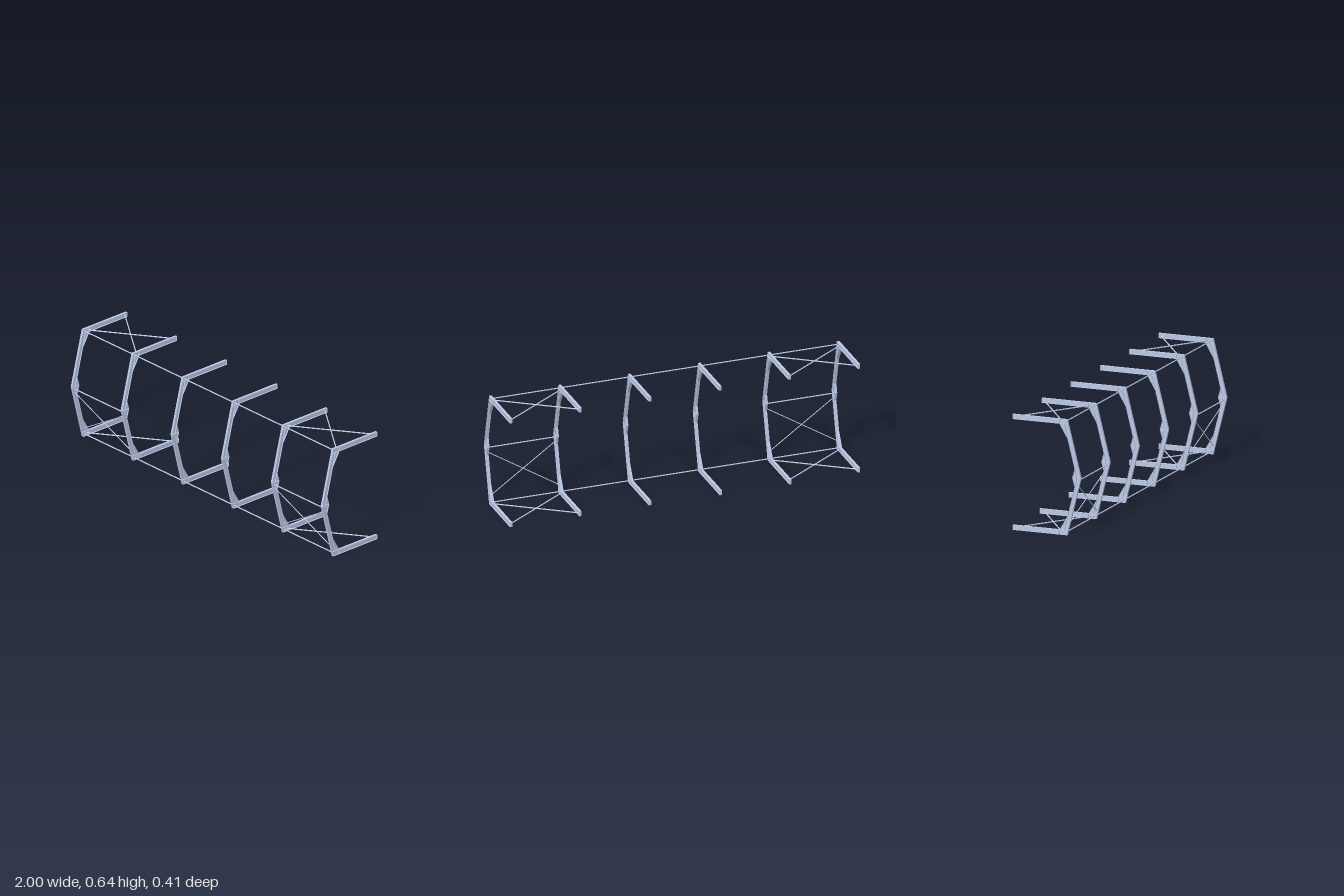
import * as THREE from 'three';

const H = 0.637, MID = H / 2;          // overall height, ridge level
const FLANGE_W = 0.014, T = 0.0012;    // flange width, plate thickness
const steel = new THREE.MeshStandardMaterial({ color: 0xbcc9e6, flatShading: true });
const frameX = [-0.993, -0.597, -0.2, 0.2, 0.597, 0.993];

function addMesh(parent, name, geometry) {
  const mesh = new THREE.Mesh(geometry, steel);
  mesh.name = name;
  parent.add(mesh);
  return mesh;
}

// Flat plate between two [z, y] points, pushed inward by half its thickness
function addPlate(parent, name, a, b, centre) {
  const dz = b[0] - a[0], dy = b[1] - a[1], len = Math.hypot(dz, dy);
  const mz = (a[0] + b[0]) / 2, my = (a[1] + b[1]) / 2;
  let nz = -dy / len, ny = dz / len;
  if ((centre[0] - mz) * nz + (centre[1] - my) * ny < 0) { nz = -nz; ny = -ny; }
  const plate = addMesh(parent, name, new THREE.BoxGeometry(FLANGE_W, len, T));
  plate.position.set(0, my + ny * T / 2, mz + nz * T / 2);
  plate.rotation.x = Math.atan2(dz, dy);
}

// I-section member: thin web of [z, y] corners with plates on the listed edges
function addMember(parent, name, pts, edges) {
  const group = new THREE.Group();
  group.name = name;
  const geo = new THREE.ExtrudeGeometry(
    new THREE.Shape(pts.map(([z, y]) => new THREE.Vector2(z, y))), { depth: T, bevelEnabled: false });
  geo.translate(0, 0, -T / 2).rotateY(-Math.PI / 2);
  addMesh(group, 'web', geo);
  const centre = [0, 1].map(k => pts.reduce((s, p) => s + p[k], 0) / pts.length);
  for (const i of edges) addPlate(group, 'flange', pts[i], pts[(i + 1) % pts.length], centre);
  parent.add(group);
}

// Two rows of bolts through a joint
function addBolts(parent, y, z0, z1, count) {
  for (let i = 0; i < count; i++) {
    for (const x of [-0.004, 0.004]) {
      const bolt = addMesh(parent, 'bolt', new THREE.CylinderGeometry(0.001, 0.001, 0.005, 6));
      bolt.position.set(x, y, z0 + (z1 - z0) * i / (count - 1));
    }
  }
}

// One half of a portal frame; flip mirrors it about the ridge level
function addHalfFrame(parent, flip, endZ) {
  const m = pts => pts.map(([z, y]) => [z, flip ? H - y : y]);
  // The last edge is the base plate closing the free end
  addMember(parent, 'column',
    m([[endZ, 0], [0.126, 0], [0.132, 0.027], [endZ, 0.027]]), [0, 1, 2, 3]);
  addMember(parent, 'rafter',
    m([[0.132, 0.027], [0.205, MID], [0.181, MID], [0.108, 0.027]]), [0, 1, 2, 3]);
  addMember(parent, 'kneeHaunch',
    m([[0.108, 0.027], [0.128, 0.107], [0.081, 0.027]]), [1, 2]);
  addMember(parent, 'ridgeHaunch',
    m([[0.181, MID], [0.169, 0.268], [0.155, MID]]), [1, 2]);
  const [a, b] = m([[0.081, 0.001], [0.081, 0.026]]);
  addPlate(parent, 'stiffener', a, b, [0.1, a[1]]);
  addBolts(parent, flip ? H - 0.027 : 0.027, 0.09, 0.128, 5);
}

// Round bar between two [x, y, z] points
function addBar(parent, name, a, b, radius) {
  const p = new THREE.Vector3(...a), q = new THREE.Vector3(...b);
  const bar = addMesh(parent, name, new THREE.CylinderGeometry(radius, radius, p.distanceTo(q), 8));
  bar.position.copy(p).lerp(q, 0.5);
  bar.quaternion.setFromUnitVectors(new THREE.Vector3(0, 1, 0), q.sub(p).normalize());
}

export function createModel() {
  const model = new THREE.Group();
  model.name = 'portalFrameStructure';

  // Six portal frames
  frameX.forEach((x, i) => {
    const frame = new THREE.Group();
    frame.name = 'portalFrame';
    frame.position.x = x;
    addHalfFrame(frame, false, i === 1 || i === 2 ? -0.205 : -0.192);
    addHalfFrame(frame, true, -0.192);
    addBolts(frame, MID, 0.161, 0.201, 6);
    model.add(frame);
  });

  // Long struts at both knees
  const low = 0.0135, high = H - low;
  for (const y of [low, high])
    addBar(model, 'eavesStrut', [frameX[0], y, 0.114], [frameX[5], y, 0.114], 0.0035);

  // Ridge strut and cross bracing in both end bays
  for (const [x0, x1] of [[frameX[0], frameX[1]], [frameX[4], frameX[5]]]) {
    addBar(model, 'ridgeStrut', [x0, 0.304, 0.187], [x1, 0.304, 0.187], 0.0035);
    for (const [p, q] of [[x0, x1], [x1, x0]]) {
      addBar(model, 'rafterBrace', [p, 0.048, 0.125], [q, 0.283, 0.183], 0.0025);
      for (const y of [low, high])
        addBar(model, 'columnBrace', [p, y, -0.18], [q, y, 0.096], 0.0035);
    }
  }
  return model;
}
